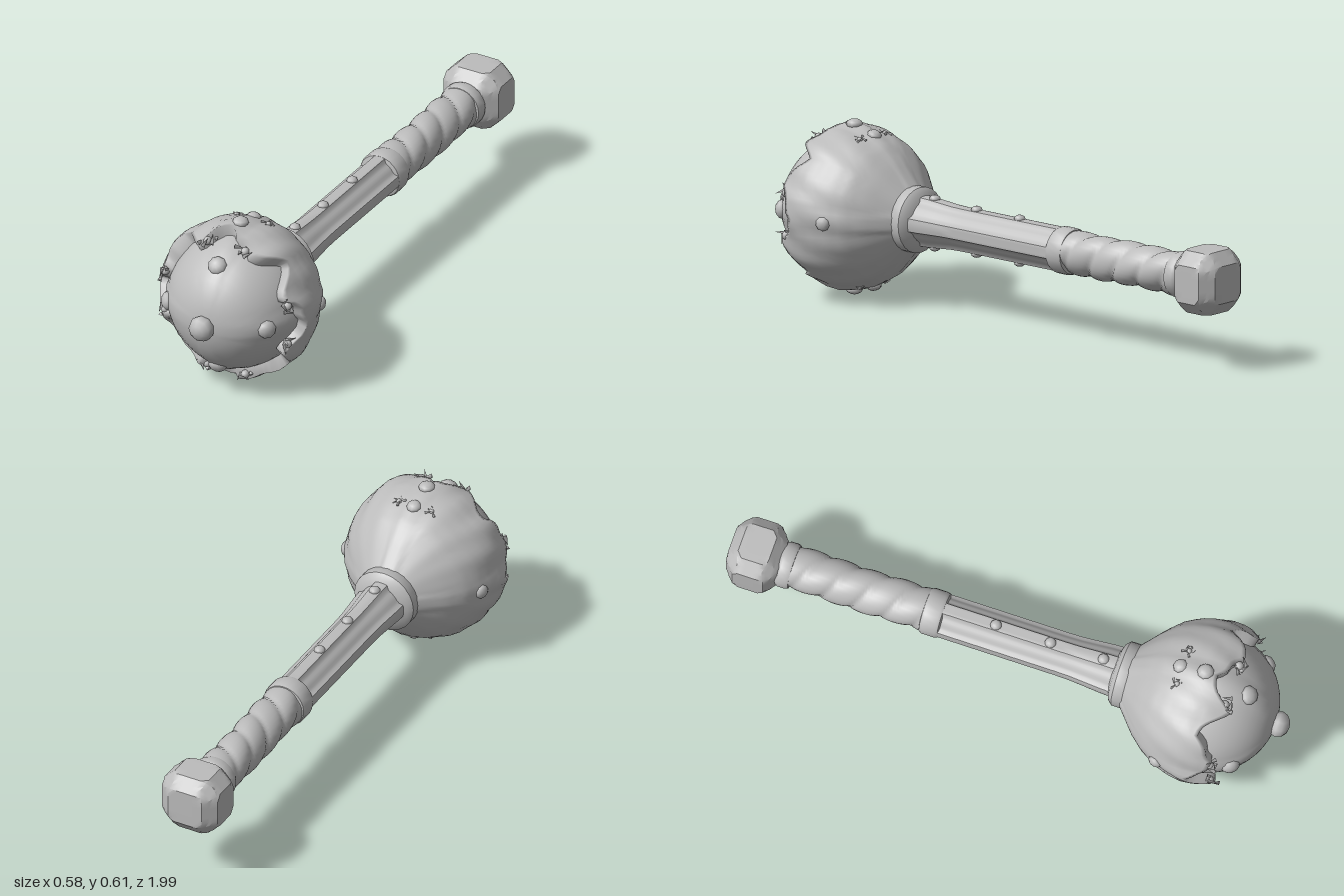
import * as THREE from 'three';
import { toCreasedNormals } from 'three/addons/utils/BufferGeometryUtils.js';

const steel = new THREE.MeshStandardMaterial({ color: 0xbcbcbc, side: THREE.DoubleSide });
steel.name = 'steel';
const CY = 0.305; // height of the weapon's long axis
const TAU = Math.PI * 2;

// Straight-line interpolation through [z, radius] pairs
function along(profile, z) {
  for (let i = 1; i < profile.length; i++) {
    const [z0, r0] = profile[i - 1], [z1, r1] = profile[i];
    if (z <= z1) return r0 + (r1 - r0) * Math.max(0, (z - z0) / (z1 - z0));
  }
  return profile[profile.length - 1][1];
}

// Tube round the z axis; fn(angle, v) gives [radius, z], z rising with v
function tube(nu, nv, fn) {
  const pos = [], idx = [];
  for (let j = 0; j <= nv; j++) for (let i = 0; i < nu; i++) {
    const a = i / nu * TAU, [r, z] = fn(a, j / nv);
    pos.push(r * Math.cos(a), r * Math.sin(a), z);
    if (j === nv) continue;
    const p = j * nu + i, q = j * nu + (i + 1) % nu;
    idx.push(p, q, q + nu, p, q + nu, p + nu);
  }
  const g = new THREE.BufferGeometry();
  g.setAttribute('position', new THREE.Float32BufferAttribute(pos, 3));
  g.setIndex(idx);
  g.computeVertexNormals();
  return g;
}

// Distance in angle to the nearest of the four sides (top, bottom, left, right)
const offAxis = a => Math.abs(a - Math.round(a / (Math.PI / 2)) * Math.PI / 2);
// Raised flat band of the given half width, with sloping shoulders
const band = (a, r, w) => THREE.MathUtils.clamp((w - offAxis(a) * r) / 0.012 + 1, 0, 1);

const shellProfile = [[0.42, 0.1], [0.46, 0.145], [0.5, 0.19], [0.55, 0.235], [0.6, 0.262],
  [0.65, 0.279], [0.7, 0.287], [0.75, 0.284], [0.8, 0.27], [0.84, 0.25]];

export function createModel() {
  const mace = new THREE.Group();
  const body = new THREE.Group();
  body.name = 'mace';
  body.position.y = CY;
  mace.add(body);
  const add = (name, geo, parent = body) => {
    const m = new THREE.Mesh(geo, steel);
    m.name = name;
    parent.add(m);
    return m;
  };

  // Inner ball with crossed bands
  add('ball', tube(64, 24, (a, v) => {
    const t = Math.PI * (1 - v * 0.999), r = 0.247 * Math.sin(t);
    const raise = 0.007 * band(a, r, 0.026) * Math.sin(t);
    const dish = 0.006 * Math.sin(2 * a) ** 2 * Math.sin(t);
    return [r + raise - dish, 0.7 - 0.252 * Math.cos(t)];
  }));

  // Torn outer shell: eight ragged points, dented surface, turned-in lip
  add('shell', tube(96, 22, (a, v) => {
    const saw = Math.asin(Math.sin(8 * a - Math.PI / 2)) / (Math.PI / 2);
    const edge = 0.775 + 0.038 * saw + 0.012 * Math.sin(13 * a + 1);
    const s = Math.min(1, v / 0.95);
    const z = 0.42 + (edge - 0.42) * s;
    let r = along(shellProfile, z);
    r += 0.005 * band(a, r, 0.024) - 0.004;
    r += 0.005 * s * s * Math.sin(8 * a + 9 * z) + 0.003 * s * Math.sin(17 * a - 20 * z);
    return v > 0.96 ? [0.225, edge - 0.008] : [r, z];
  }));

  // Rings turned round the handle
  const ring = (name, pts) => add(name, toCreasedNormals(
    tube(24, pts.length - 1, (a, v) => {
      const [z, r] = pts[Math.round(v * (pts.length - 1))];
      return [r, z];
    }), 0.7));
  ring('headCollar', [[0.375, 0.07], [0.385, 0.1], [0.4, 0.114], [0.435, 0.114], [0.455, 0.102], [0.48, 0.1]]);
  ring('upperGripRing', [[-0.305, 0.06], [-0.3, 0.077], [-0.29, 0.081], [-0.245, 0.081], [-0.235, 0.077], [-0.23, 0.06]]);
  ring('lowerGripRing', [[-0.83, 0.06], [-0.815, 0.076], [-0.805, 0.08], [-0.78, 0.08], [-0.77, 0.076], [-0.765, 0.06]]);

  // Shaft with four raised ribs, flaring towards the head
  add('shaft', toCreasedNormals(tube(48, 12, (a, v) => {
    const z = -0.24 + 0.64 * v;
    const flare = 0.012 * THREE.MathUtils.smoothstep(z, 0.2, 0.4);
    return [0.063 + flare + 0.013 * band(a, 0.075, 0.02), z];
  }), 0.6));

  // Twisted wrapped grip
  add('grip', tube(32, 72, (a, v) => {
    const z = -0.79 + 0.51 * v;
    const wave = Math.abs(Math.sin(a + z * 29));
    return [0.063 + 0.013 * Math.sqrt(wave) + 0.002 * Math.sin(3 * a + 17 * z), z];
  }));

  // Pommel: a cube with cut corners and a shallow dent in each face
  const pg = new THREE.BoxGeometry(2, 2, 2, 10, 10, 10);
  const pp = pg.attributes.position, p = new THREE.Vector3();
  for (let i = 0; i < pp.count; i++) {
    p.fromBufferAttribute(pp, i);
    const [lo, mid, hi] = [p.x, p.y, p.z].map(Math.abs).sort((m, n) => m - n);
    p.multiplyScalar(Math.min(1 / hi, 1.5 / (hi + mid), 1.95 / (hi + mid + lo)));
    if (mid < 0.45) ['x', 'y', 'z'].forEach(k => { if (Math.abs(p[k]) > 0.9) p[k] *= 0.94; });
    pp.setXYZ(i, p.x * 0.115, p.y * 0.115, p.z * 0.097);
  }
  add('pommel', toCreasedNormals(pg, 0.5)).position.z = -0.903;

  // Domed stud, its flat side facing the axis
  const studGeo = new THREE.SphereGeometry(1, 9, 6);
  const stud = (name, a, r, z, size, depth, tilt = 0) => {
    const m = add(name, studGeo);
    m.position.set(r * Math.cos(a), r * Math.sin(a), z);
    const n = new THREE.Vector3(Math.cos(a) * Math.cos(tilt), Math.sin(a) * Math.cos(tilt), Math.sin(tilt));
    m.quaternion.setFromUnitVectors(new THREE.Vector3(0, 1, 0), n);
    m.scale.set(size, depth, size);
  };
  stud('frontKnob', 0, 0, 0.962, 0.046, 0.038, Math.PI / 2);

  // Torn splinters gathered round a small nugget
  const shardGeo = new THREE.ConeGeometry(0.008, 0.036, 3);
  const nuggetGeo = new THREE.IcosahedronGeometry(0.014, 1);
  const splinters = (a, r, z, size) => {
    const g = new THREE.Group();
    g.name = 'splinters';
    g.position.set(r * Math.cos(a), r * Math.sin(a), z);
    g.rotation.z = a;
    g.scale.setScalar(size);
    add('nugget', nuggetGeo, g);
    for (let i = 0; i < 5; i++) {
      const s = add('shard', shardGeo, g), t = i * 1.26 + a;
      s.position.set(0.004, 0.02 * Math.cos(t), 0.02 * Math.sin(t));
      s.rotation.set(t * 1.7, 0.4 * i, -0.8);
    }
    body.add(g);
  };

  // Studs and splinters repeated on the four sides of the head
  for (let k = 0; k < 4; k++) {
    const a = k * Math.PI / 2, upright = k % 2 === 1;
    stud('ballStud', a, 0.192, 0.855, 0.034, 0.025, 0.7);
    stud('shellStud', a, 0.262, 0.61, 0.026, 0.017, -0.3);
    if (upright) stud('crestStud', a, 0.287, 0.7, 0.029, 0.018);
    for (const side of [-1, 1]) {
      splinters(a + side * 0.3, 0.25, 0.795, 1.1);
      if (upright) splinters(a + side * 0.24, 0.263, 0.62, 0.7);
    }
  }

  // Small studs along the top and bottom of the shaft
  for (const a of [Math.PI / 2, -Math.PI / 2])
    for (const [z, r] of [[0.335, 0.084], [0.145, 0.076], [-0.05, 0.076]])
      stud('shaftStud', a, r, z, 0.02, 0.014);

  return mace;
}
